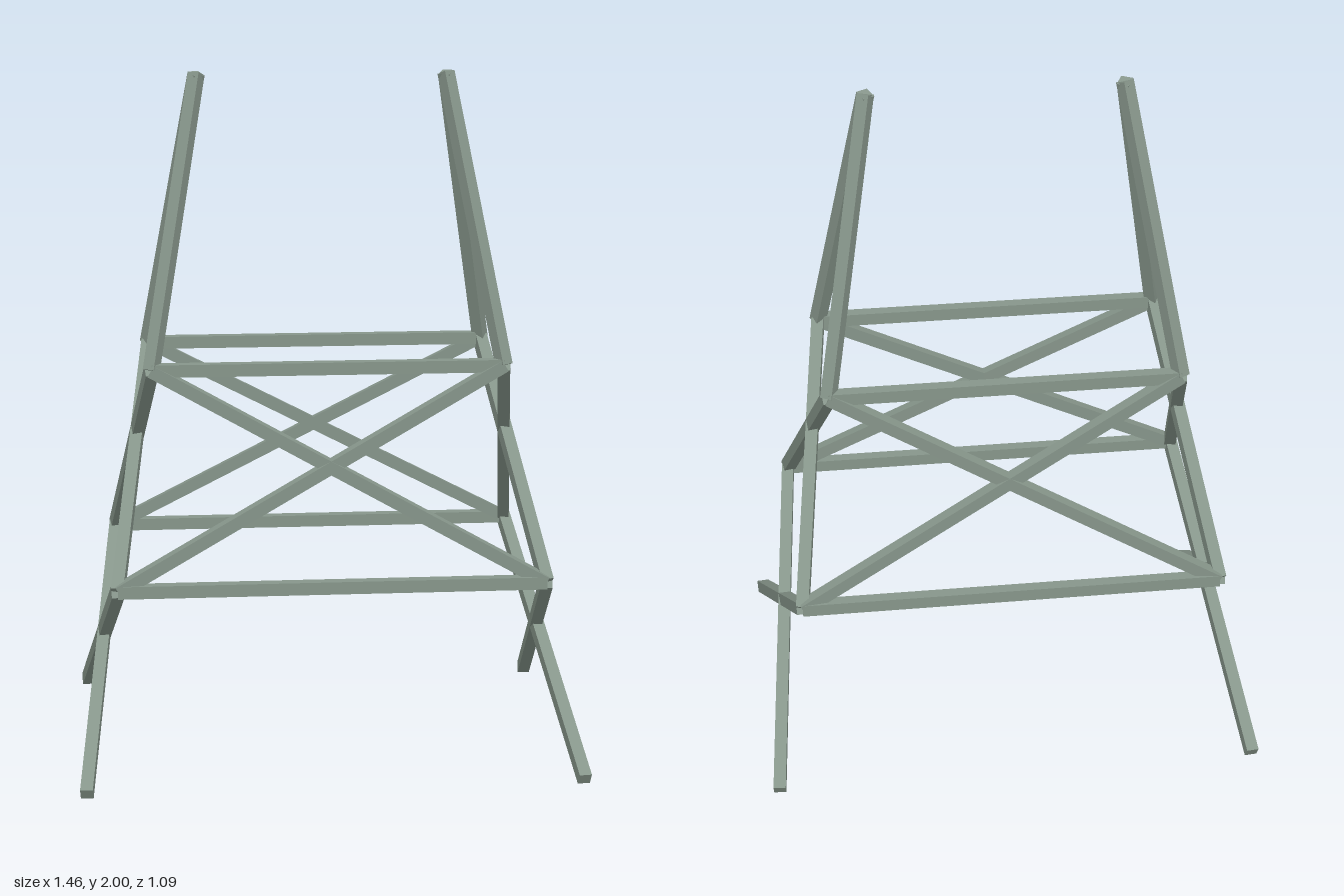
import * as THREE from 'three';

const THICKNESS = 0.036;

export function createModel() {
  const group = new THREE.Group();
  const steel = new THREE.MeshStandardMaterial({ color: 0x86958a });
  steel.name = 'grey green steel';

  // Straight square bar between two points, its sides kept upright
  function bar(name, a, b) {
    const mesh = new THREE.Mesh(new THREE.BoxGeometry(THICKNESS, THICKNESS, a.distanceTo(b)), steel);
    mesh.name = name;
    mesh.position.copy(a).add(b).multiplyScalar(0.5);
    mesh.lookAt(b);
    group.add(mesh);
  }

  // Joints of the tapering frame at four levels; sx and sz choose the corner
  const joint = (x, y, z) => (sx, sz) => new THREE.Vector3(sx * x, y, sz * z);
  const top = joint(0.362, 1.993, 0);
  const upper = joint(0.507, 1.17, 0.233);
  const lower = joint(0.613, 0.565, 0.392);
  const foot = joint(0.71, 0.0165, 0.533);

  for (const s of [-1, 1]) {
    // Horizontal rails on the front and back
    bar('upperRail', upper(-1, s), upper(1, s));
    bar('lowerRail', lower(-1, s), lower(1, s));
    for (const t of [-1, 1]) {
      // Crossed braces on the front and back faces
      bar('faceBrace', upper(t, s), lower(-t, s));
      // Crossed braces on the left and right sides
      bar('sideBrace', upper(s, t), lower(s, -t));
      // Crossed legs running past each other to the ground
      bar('leg', lower(s, t), foot(s, -t));
      // Pair of struts meeting at each peak
      bar('peakStrut', upper(s, t), top(s, t));
    }
  }
  return group;
}
